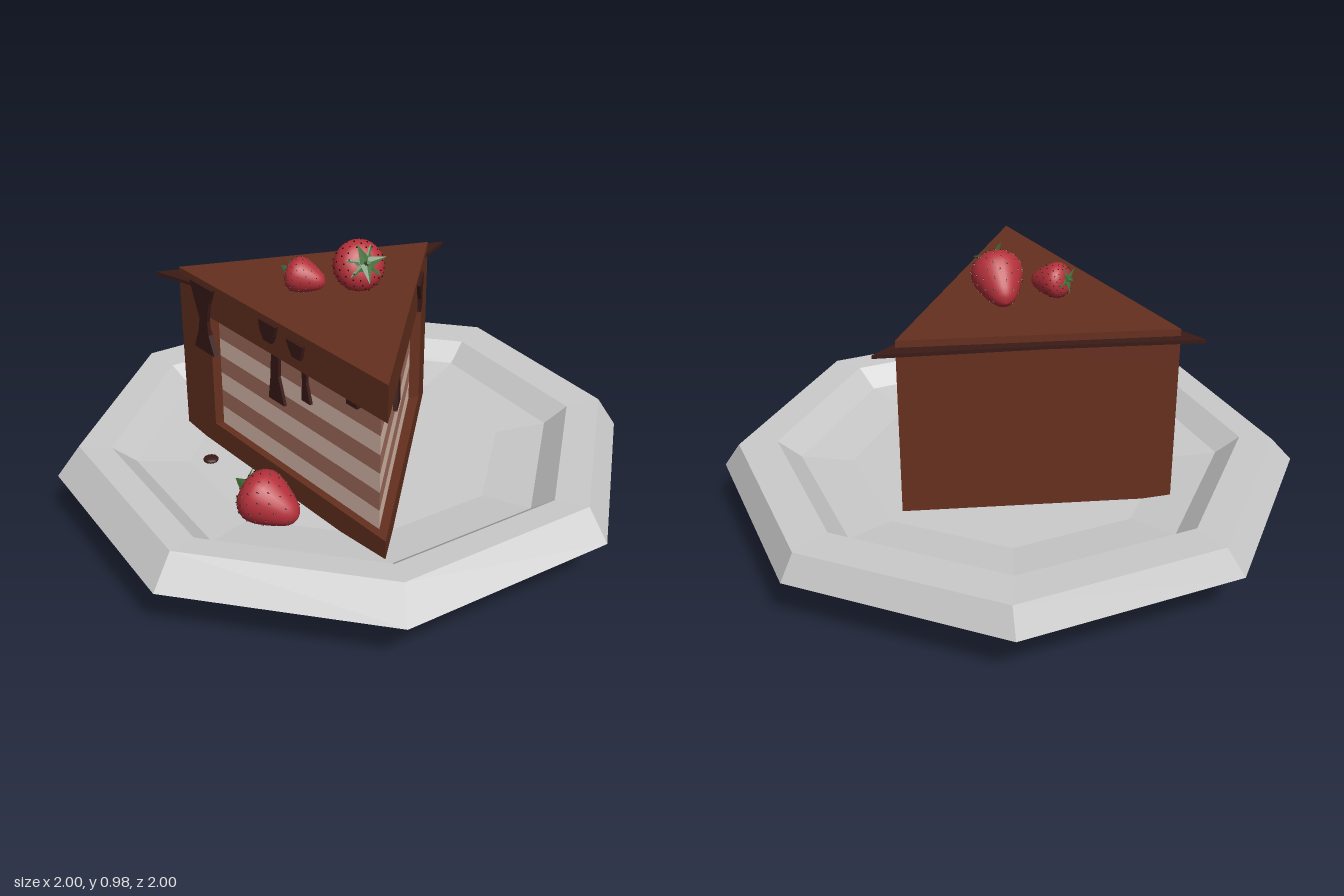
import * as THREE from 'three';

const mat = (color, extra = {}) => new THREE.MeshStandardMaterial({ color, ...extra });
const grey = mat(0xcccccc, { flatShading: true });
const chocolate = mat(0x66301f);
const glazeMat = mat(0x3a1a17);
const creamMat = mat(0xe2c2b2);
const spongeMat = mat(0xa9705f);
const berryMat = mat(0xb5303a);
const seedMat = mat(0x2e0b0c);
const leafMat = mat(0x44703a, { flatShading: true, side: THREE.DoubleSide });

// Corners of the slice seen from above, as [x, z]
const A = [0.04, -0.485], B = [-0.57, 0.17], C = [0.47, 0.515];
const mix = (p, q, t) => [p[0] + (q[0] - p[0]) * t, p[1] + (q[1] - p[1]) * t];

function add(parent, name, geometry, material) {
  const mesh = new THREE.Mesh(geometry, material);
  mesh.name = name;
  parent.add(mesh);
  return mesh;
}

// Upright prism over a floor outline
function prism(outline, y0, y1) {
  const shape = new THREE.Shape(outline.map(([x, z]) => new THREE.Vector2(x, -z)));
  return new THREE.ExtrudeGeometry(shape, { depth: y1 - y0, bevelEnabled: false })
    .rotateX(-Math.PI / 2).translate(0, y0, 0);
}

// Octagonal plate, its rim set slightly back
function makePlate(group) {
  const profile = [[0, 0.005], [0.51, 0.005], [0.56, 0.06], [1, 0.18], [0.93, 0.275],
    [0.81, 0.272], [0.73, 0.21], [0.55, 0.19], [0, 0.19]].map(p => new THREE.Vector2(...p));
  const geometry = new THREE.LatheGeometry(profile, 8, -0.042);
  const pos = geometry.attributes.position;
  for (let i = 0; i < pos.count; i++) {
    if (pos.getY(i) > 0.274) pos.setXYZ(i, pos.getX(i) - 0.01, pos.getY(i), pos.getZ(i) - 0.025);
  }
  add(group, 'plate', geometry, grey);
}

// Drip lying on the side p-q: rows are [height, left edge, right edge]
function drip(group, p, q, t, inset, rows) {
  const shape = new THREE.Shape([
    ...rows.map(([y, l]) => new THREE.Vector2(l, y)),
    ...rows.map(([y, , r]) => new THREE.Vector2(r, y)).reverse(),
  ]);
  const geometry = new THREE.ExtrudeGeometry(shape, { depth: 0.02, bevelEnabled: false });
  geometry.translate(0, 0, -0.008 - inset);
  const mesh = add(group, 'glazeDrip', geometry, glazeMat);
  const [x, z] = mix(p, q, t);
  mesh.position.set(x, 0, z);
  mesh.rotation.y = -Math.atan2(q[1] - p[1], q[0] - p[0]);
}

function makeCake() {
  const cake = new THREE.Group();
  cake.name = 'cakeSlice';
  add(cake, 'frostingBase', prism([A, B, C], 0.19, 0.272), chocolate);
  add(cake, 'frostingTop', prism([A, B, C], 0.685, 0.81), chocolate);
  add(cake, 'frostingBack', prism([A, B, mix(B, C, 0.165), mix(A, C, 0.16)], 0.272, 0.685), chocolate);

  // Alternating cream and sponge, set in from the frosting
  const filling = [[0.42, 0.47], [-0.41, 0.195], [0.064, -0.34]];
  const levels = [0.272, 0.34, 0.405, 0.473, 0.538, 0.604, 0.685];
  for (let i = 0; i < 6; i++) {
    add(cake, i % 2 ? 'spongeLayer' : 'creamLayer', prism(filling, levels[i], levels[i + 1]),
      i % 2 ? spongeMat : creamMat);
  }

  // Thin glaze sheet jutting out along the back edge
  add(cake, 'glazeSheet', prism([[-0.645, 0.2], [-0.4, 0.215], [0, 0], [0.068, -0.38],
    [0.055, -0.57], [-0.3, -0.165]], 0.774, 0.786), glazeMat);

  // Drips: on the frosting and, below the overhang, on the filling
  drip(cake, B, C, 0.14, 0, [[0.795, -0.07, 0.065], [0.74, -0.05, 0.04], [0.67, -0.02, 0.025],
    [0.62, -0.03, 0.03], [0.55, -0.06, 0.06]]);
  drip(cake, B, C, 0.48, 0, [[0.795, -0.045, 0.045], [0.76, -0.04, 0.035], [0.73, -0.022, 0.02]]);
  drip(cake, B, C, 0.48, 0.028, [[0.69, -0.02, 0.02], [0.6, -0.025, 0.015], [0.505, -0.04, 0.045]]);
  drip(cake, B, C, 0.61, 0, [[0.78, -0.045, 0.04], [0.73, -0.015, 0.028]]);
  drip(cake, B, C, 0.61, 0.028, [[0.69, -0.005, 0.02], [0.64, 0, 0.02], [0.57, -0.005, 0.04]]);
  drip(cake, B, C, 0.84, 0.02, [[0.69, -0.025, 0.025], [0.662, -0.025, 0.025]]);
  drip(cake, C, A, 0.385, 0.028, [[0.69, -0.03, 0.03], [0.6, -0.02, 0.02], [0.51, -0.04, 0.035]]);
  drip(cake, C, A, 0.73, 0, [[0.795, -0.065, 0.06], [0.73, -0.025, 0.025], [0.68, -0.02, 0.02]]);
  drip(cake, C, A, 0.73, 0.028, [[0.69, -0.02, 0.02], [0.61, -0.04, 0.035]]);
  return cake;
}

// Strawberry of unit radius: tip at -y, leaves at +y
const berryCurve = new THREE.SplineCurve([[0, -1.3], [0.36, -1.14], [0.7, -0.6], [0.96, 0.05],
  [0.95, 0.5], [0.62, 0.86], [0, 0.95]].map(p => new THREE.Vector2(...p)));

function makeBerry(position, direction, size) {
  const berry = new THREE.Group();
  berry.name = 'strawberry';
  const profile = berryCurve.getPoints(16);
  profile.forEach(p => { p.x = Math.max(p.x, 0); });
  add(berry, 'fruit', new THREE.LatheGeometry(profile, 24), berryMat);

  // Seeds spiral over the skin
  const seed = new THREE.OctahedronGeometry(0.05);
  const count = 90;
  for (let i = 0; i < count; i++) {
    const p = berryCurve.getPointAt(0.06 + 0.76 * Math.sqrt((i + 0.5) / count));
    const angle = i * 2.39996;
    const mesh = add(berry, 'seed', seed, seedMat);
    mesh.position.set(p.x * Math.sin(angle), p.y, p.x * Math.cos(angle));
    mesh.scale.set(0.8, 1.2, 0.8);
  }

  // Drooping crown of leaves around a short stalk
  const leaf = new THREE.ConeGeometry(0.26, 0.85, 4).translate(0, 0.4, 0).scale(1, 1, 0.25);
  for (let i = 0; i < 7; i++) {
    const pivot = new THREE.Group();
    pivot.name = 'leafPivot';
    pivot.position.y = 0.97;
    pivot.rotation.y = i * Math.PI * 2 / 7;
    add(pivot, 'leaf', leaf, leafMat).rotation.x = i % 2 ? 1.35 : 1.75;
    berry.add(pivot);
  }
  add(berry, 'stalk', new THREE.CylinderGeometry(0.08, 0.12, 0.3, 6).translate(0, 1.08, 0), leafMat);

  berry.scale.setScalar(size);
  berry.position.set(...position);
  berry.quaternion.setFromUnitVectors(new THREE.Vector3(0, 1, 0),
    new THREE.Vector3(...direction).normalize());
  return berry;
}

export function createModel() {
  const model = new THREE.Group();
  model.name = 'cakeOnPlate';
  makePlate(model);
  model.add(makeCake());
  model.add(makeBerry([0.025, 0.88, -0.025], [0.75, 0.45, 0.5], 0.087));
  model.add(makeBerry([-0.095, 0.865, 0.11], [-1, 0.2, 0.2], 0.06));
  model.add(makeBerry([0.045, 0.283, 0.535], [-1, 0.3, 0.05], 0.091));

  // Fallen drop of glaze
  const drop = add(model, 'glazeDrop', new THREE.SphereGeometry(0.027, 12, 8), glazeMat);
  drop.scale.y = 0.4;
  drop.position.set(-0.345, 0.196, 0.33);
  return model;
}
